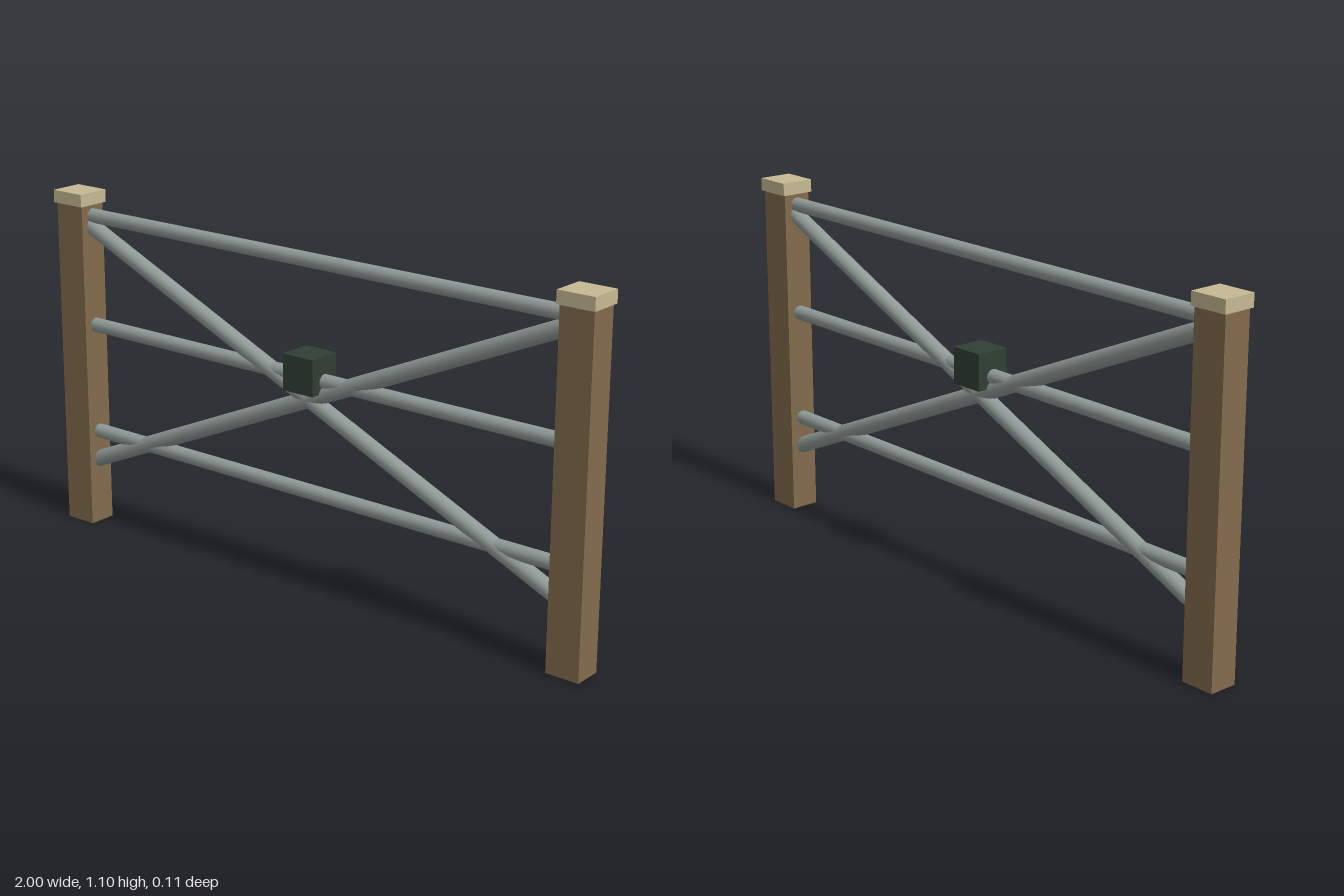
import * as THREE from 'three';

export function createModel() {
  const model = new THREE.Group();
  model.name = 'fenceBrace';

  const mat = (name, color) => {
    const m = new THREE.MeshStandardMaterial({ color });
    m.name = name;
    return m;
  };
  const wood = mat('brown wood', 0x836b4d);
  const capWood = mat('pale cap', 0xc6b993);
  const steel = mat('galvanised steel', 0x8f9a97);
  const dark = mat('dark green box', 0x303f33);

  const box = (name, material, w, y0, y1, d, x) => {
    const mesh = new THREE.Mesh(new THREE.BoxGeometry(w, y1 - y0, d), material);
    mesh.name = name;
    mesh.position.set(x, (y0 + y1) / 2, 0);
    model.add(mesh);
  };

  // Pipe running from the left point to the right point in the z = 0 plane
  const pipe = (name, radius, xEnd, yA, yB) => {
    const a = new THREE.Vector3(-xEnd, yA, 0);
    const b = new THREE.Vector3(xEnd, yB, 0);
    const dir = b.clone().sub(a);
    const mesh = new THREE.Mesh(new THREE.CylinderGeometry(radius, radius, dir.length(), 12), steel);
    mesh.name = name;
    mesh.position.addVectors(a, b).multiplyScalar(0.5);
    mesh.quaternion.setFromUnitVectors(new THREE.Vector3(0, 1, 0), dir.normalize());
    model.add(mesh);
  };

  // Posts with square caps
  for (const [side, s] of [['left', 1], ['right', -1]]) {
    box(side + 'Post', wood, 0.108, 0, 1.06, 0.092, s * 0.94);
    box(side + 'PostCap', capWood, 0.12, 1.06, 1.1, 0.108, s * 0.94);
  }

  // Horizontal rails
  pipe('topRail', 0.023, 0.9, 1.025, 1.025);
  pipe('middleRail', 0.023, 0.9, 0.668, 0.668);
  pipe('bottomRail', 0.023, 0.9, 0.311, 0.311);

  // Crossed diagonal braces
  pipe('fallingBrace', 0.026, 0.9, 0.995, 0.21);
  pipe('risingBrace', 0.026, 0.9, 0.21, 0.995);

  // Central latch box
  box('latchBox', dark, 0.112, 0.632, 0.745, 0.108, 0);

  return model;
}
